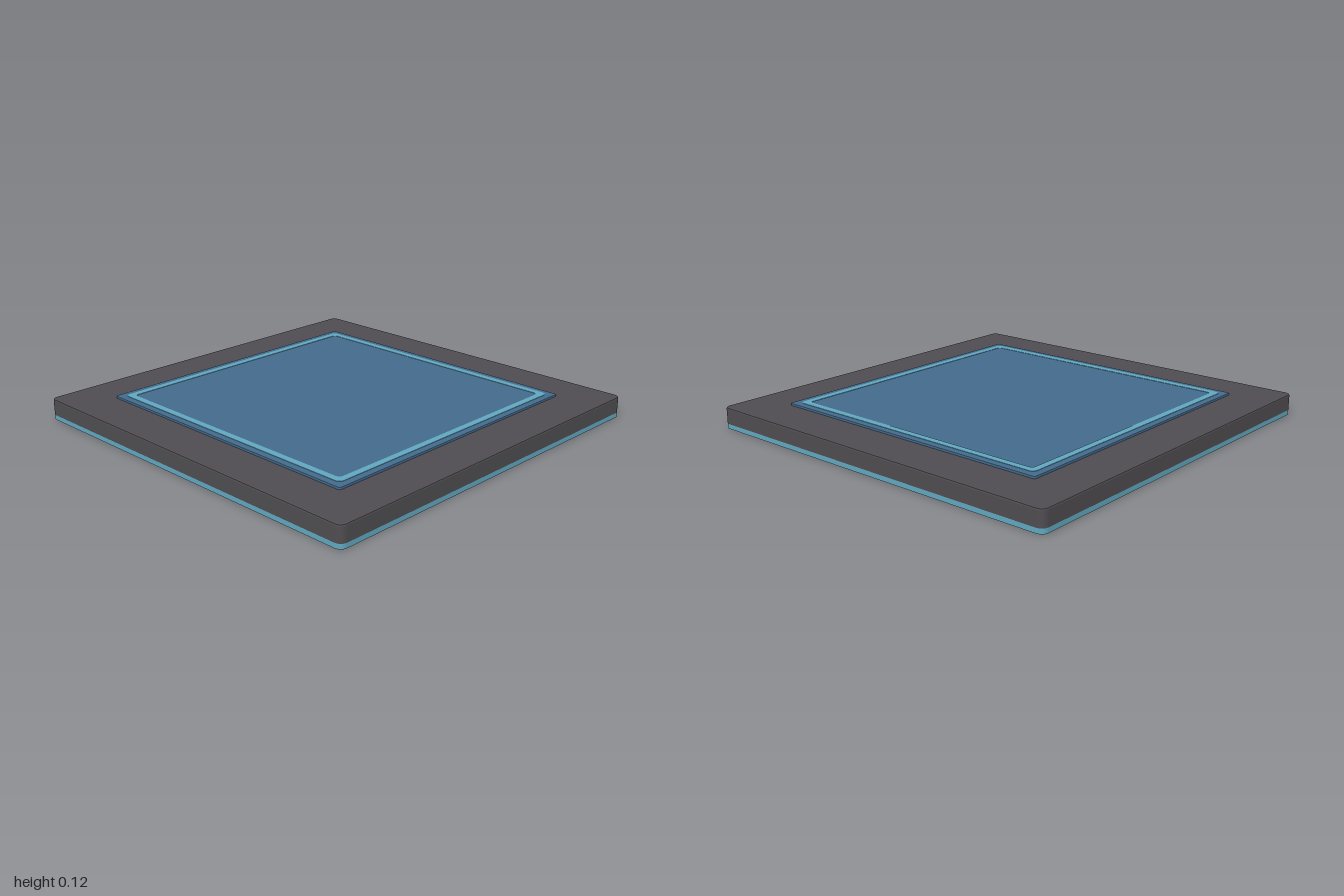
import * as THREE from 'three';

const material = (name, color) => {
  const m = new THREE.MeshStandardMaterial({ color });
  m.name = name;
  return m;
};

// Trace a rounded square of half-width h and corner radius r
function roundedSquare(path, h, r) {
  const k = h - r;
  path.moveTo(h, -k);
  path.lineTo(h, k);
  path.absarc(k, k, r, 0, Math.PI / 2);
  path.absarc(-k, k, r, Math.PI / 2, Math.PI);
  path.absarc(-k, -k, r, Math.PI, Math.PI * 1.5);
  path.absarc(k, -k, r, Math.PI * 1.5, Math.PI * 2);
  return path;
}

// Flat slab from y0 to y1 with softened edges and an optional square opening
function slab(name, mat, half, radius, y0, y1, bevel, hole) {
  const shape = roundedSquare(new THREE.Shape(), half - bevel, radius - bevel);
  if (hole) shape.holes.push(roundedSquare(new THREE.Path(), hole, 0.02));
  const geometry = new THREE.ExtrudeGeometry(shape, {
    depth: y1 - y0 - 2 * bevel,
    bevelEnabled: bevel > 0,
    bevelSize: bevel,
    bevelThickness: bevel,
    bevelSegments: 2,
    curveSegments: 6,
  });
  geometry.rotateX(-Math.PI / 2);
  geometry.translate(0, y0 + bevel, 0);
  const mesh = new THREE.Mesh(geometry, mat);
  mesh.name = name;
  return mesh;
}

export function createModel() {
  const grey = material('dark grey', 0x4e4c50);
  const blue = material('steel blue', 0x426a8b);
  const cyan = material('light cyan', 0x60a6be);

  const model = new THREE.Group();
  model.name = 'floorTile';
  model.add(
    // Glowing underside layer, showing as a strip around the bottom edge
    slab('underside', cyan, 1, 0.035, 0, 0.027, 0.002),
    // Thick outer body
    slab('body', grey, 1, 0.035, 0.017, 0.107, 0.008),
    // Raised centre panel
    slab('centrePanel', blue, 0.773, 0.012, 0.1, 0.118, 0.003),
    // Thin border line on the panel
    slab('borderLine', cyan, 0.738, 0.025, 0.1165, 0.12, 0, 0.704)
  );
  return model;
}
